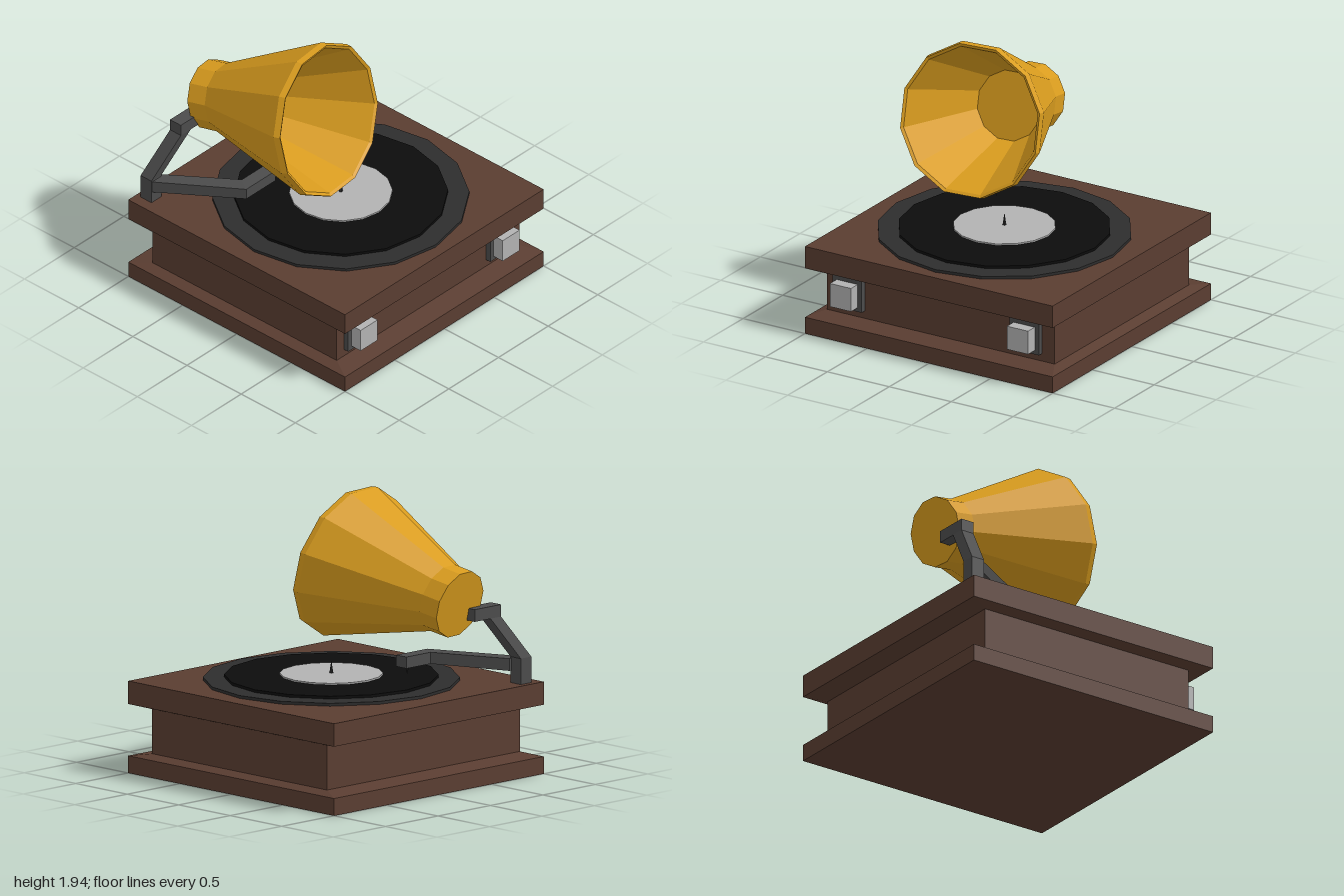
import * as THREE from 'three';

const mat = (color) => new THREE.MeshStandardMaterial({ color, flatShading: true });

// Flat-shaded skin through rings of points (counter-clockwise seen from the far end), capped at both ends
function loft(rings) {
  const out = [];
  const tri = (a, b, c) => out.push(...a, ...b, ...c);
  const k = rings[0].length;
  for (let r = 0; r + 1 < rings.length; r++) {
    const a = rings[r], b = rings[r + 1];
    for (let i = 0; i < k; i++) {
      const j = (i + 1) % k;
      tri(a[i], a[j], b[j]);
      tri(a[i], b[j], b[i]);
    }
  }
  const s = rings[0], e = rings[rings.length - 1];
  for (let i = 1; i + 1 < k; i++) {
    tri(s[0], s[i + 1], s[i]);
    tri(e[0], e[i], e[i + 1]);
  }
  const g = new THREE.BufferGeometry();
  g.setAttribute('position', new THREE.Float32BufferAttribute(out, 3));
  g.computeVertexNormals();
  return g;
}

// Horizontal rectangle
const rect = (y, x0, x1, z0, z1) => [[x0, y, z1], [x1, y, z1], [x1, y, z0], [x0, y, z0]];

// Upright section of the tonearm between an outer and an inner edge
const section = (xo, zo, xi, zi, y0, y1) => [[xo, y0, zo], [xi, y0, zi], [xi, y1, zi], [xo, y1, zo]];

// Twelve-sided horn section centred on the tilted horn axis
const normal = new THREE.Vector3(0.967, 0.235, -0.1).normalize();
const side = new THREE.Vector3().crossVectors(new THREE.Vector3(0, 1, 0), normal).normalize();
const up = new THREE.Vector3().crossVectors(normal, side);
function hornRing(x, radius) {
  const ring = [];
  for (let i = 0; i < 12; i++) {
    const t = ((i + 0.5) / 12) * Math.PI * 2;
    ring.push(new THREE.Vector3(x, 1.43 + 0.187 * (x - 0.1), 0.225 - 0.122 * (x - 0.1))
      .addScaledVector(side, radius * Math.cos(t))
      .addScaledVector(up, radius * Math.sin(t))
      .toArray());
  }
  return ring;
}

export function createModel() {
  const group = new THREE.Group();
  const wood = mat(0x5a3d31), iron = mat(0x4c4c4c), brass = mat(0xd99c1e);
  const platterMat = mat(0x2d2d2d), black = mat(0x0c0c0c), silver = mat(0xb2b2b2);

  const add = (name, geometry, material, x = 0, y = 0, z = 0) => {
    const mesh = new THREE.Mesh(geometry, material);
    mesh.name = name;
    mesh.position.set(x, y, z);
    group.add(mesh);
    return mesh;
  };

  // Case with overhanging plinth and lid
  const caseProfile = [[0, 1, 1], [0.12, 1, 1], [0.145, 0.85, 0.92], [0.455, 0.85, 0.92], [0.48, 1, 1], [0.64, 1, 1]];
  add('case', loft(caseProfile.map(([y, x, z]) => rect(y, -x, x, -z, z))), wood);

  // Square knobs on the side
  for (const z of [0.73, -0.7]) {
    add('knobPlate', new THREE.BoxGeometry(0.05, 0.23, 0.235), iron, 0.865, 0.315, z);
    add('knob', new THREE.BoxGeometry(0.09, 0.17, 0.17), silver, 0.93, 0.315, z);
  }

  // Turntable stack
  const disc = (name, r, y0, y1, m) =>
    add(name, new THREE.CylinderGeometry(r, r, y1 - y0, 16), m, 0.045, (y0 + y1) / 2, 0);
  disc('platter', 0.875, 0.642, 0.662, platterMat);
  disc('record', 0.73, 0.662, 0.681, black);
  disc('recordLabel', 0.352, 0.681, 0.692, silver);
  add('spindle', new THREE.ConeGeometry(0.016, 0.1, 6), platterMat, 0.045, 0.73, 0);

  // Post that leans up to the horn bracket
  add('hornPost', loft([
    rect(0.64, -0.96, -0.86, 0.82, 0.92),
    rect(0.82, -0.96, -0.86, 0.82, 0.92),
    rect(1.12, -0.89, -0.79, 0.6, 0.7),
  ]), iron);
  add('hornBracket', new THREE.BoxGeometry(0.1, 0.085, 0.25), iron, -0.84, 1.162, 0.575);

  // Tonearm with a bent head and needle
  add('tonearm', loft([
    section(-0.87, 0.92, -0.87, 0.8, 0.725, 0.81),
    section(-0.31, 0.565, -0.41, 0.5, 0.75, 0.83),
    section(-0.31, 0.27, -0.41, 0.27, 0.75, 0.83),
  ]), iron);
  add('needle', new THREE.ConeGeometry(0.015, 0.06, 6), platterMat, -0.36, 0.725, 0.325).rotation.x = Math.PI;

  // Horn: closed neck, flared bell, rolled lip, then the inner wall back to its floor
  const hornProfile = [[-0.855, 0.242], [-0.71, 0.243], [0.09, 0.543], [0.137, 0.533], [0.125, 0.512], [-0.48, 0.245]];
  add('horn', loft(hornProfile.map(([x, r]) => hornRing(x, r))), brass);

  return group;
}
